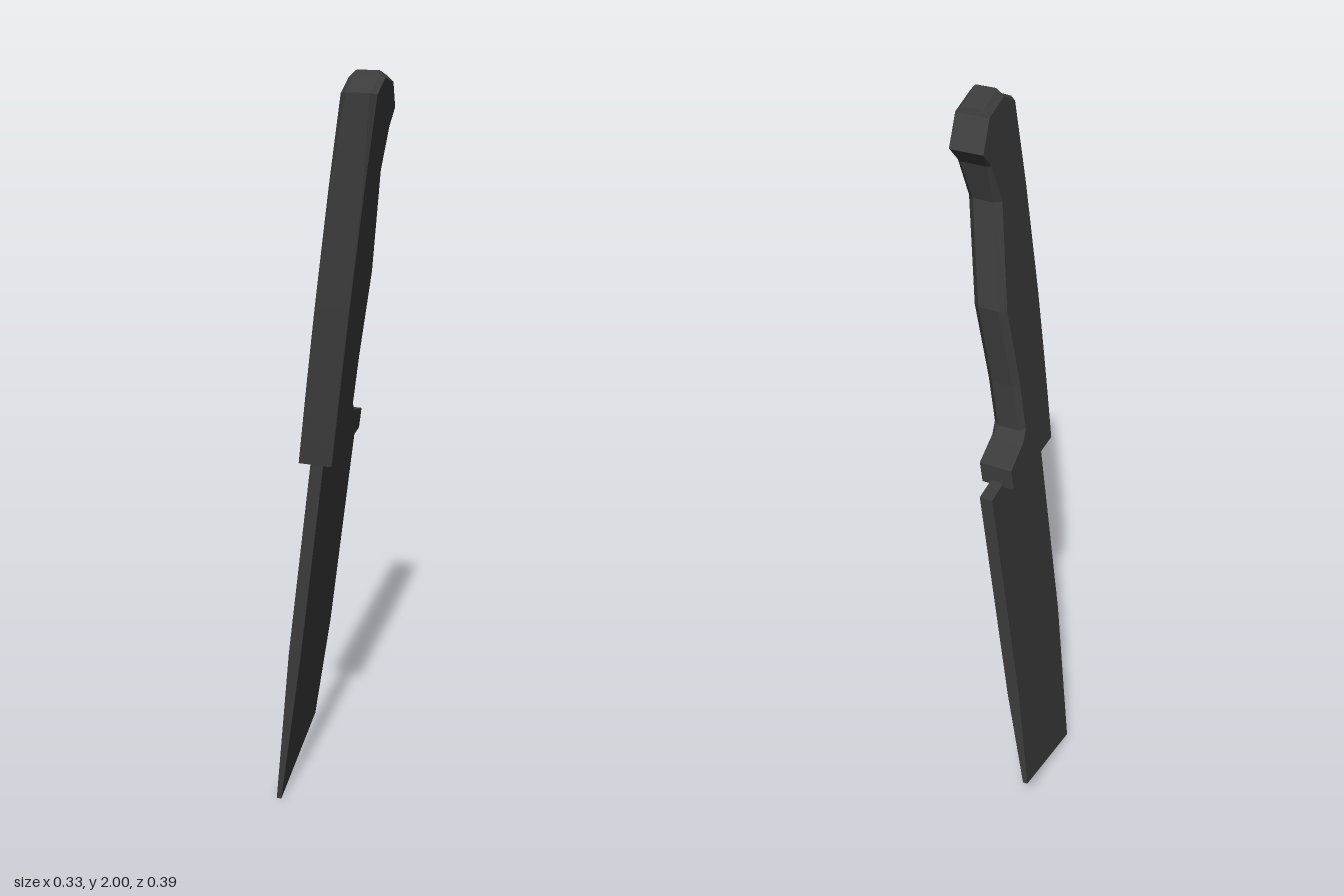
import * as THREE from 'three';

// Lean of the whole knife: x shifts with height and with depth
const lean = (x, y, z) => [x - 0.018 + 0.125 * (y - 1) + 0.11 * z, y, z];

// One ring: [spineZ, spineY, edgeZ, edgeY, halfWidth, spineBevel, edgeBevel]
function ring([zs, ys, ze, ye, w, bs, be]) {
  const half = [[w - be, ze], [w, ze + be], [w, zs - bs], [w - bs, zs]];
  const loop = [...half, ...half.slice().reverse().map(([x, z]) => [-x, z])];
  return loop.map(([x, z]) => lean(x, ye + (ys - ye) * (z - ze) / (zs - ze), z));
}

// Skin the rings from bottom to top and close both ends
function loft(sections) {
  const rings = sections.map(ring);
  const pos = [];
  const tri = (...pts) => pts.forEach((p) => pos.push(...p));
  for (let r = 0; r < rings.length - 1; r++) {
    const a = rings[r], b = rings[r + 1];
    for (let i = 0; i < a.length; i++) {
      const j = (i + 1) % a.length;
      tri(a[i], b[i], b[j]);
      tri(a[i], b[j], a[j]);
    }
  }
  const low = rings[0], top = rings[rings.length - 1];
  for (let k = 1; k < low.length - 1; k++) {
    tri(low[0], low[k], low[k + 1]);
    tri(top[0], top[k + 1], top[k]);
  }
  const g = new THREE.BufferGeometry();
  g.setAttribute('position', new THREE.Float32BufferAttribute(pos, 3));
  g.computeVertexNormals();
  return g;
}

export function createModel() {
  const group = new THREE.Group();
  group.name = 'knife';
  const darkGrey = new THREE.MeshStandardMaterial({ color: 0x3c3c3c });
  darkGrey.name = 'darkGrey';

  const add = (name, sections) => {
    const mesh = new THREE.Mesh(loft(sections), darkGrey);
    mesh.name = name;
    group.add(mesh);
  };

  // Blade: even thickness, thinning towards the slanted tip
  add('blade', [
    [0.13, 0, -0.195, 0.1, 0.007, 0.001, 0.001],
    [0.15, 0.47, -0.192, 0.42, 0.0175, 0.001, 0.001],
    [0.16, 1.06, -0.19, 1.055, 0.0175, 0.001, 0.001],
  ]);

  // Handle: finger guard, bevelled grip and hooked pommel
  const w = 0.045, s = 0.002;
  add('handle', [
    [0.18, 1.03, -0.11, 1.045, w, s, s],
    [0.184, 1.095, -0.11, 1.1, w, s, s],
    [0.186, 1.13, -0.02, 1.125, w, s, 0.008],
    [0.188, 1.16, 0, 1.15, w, s, 0.015],
    [0.194, 1.28, -0.003, 1.28, w, s, 0.016],
    [0.2, 1.45, -0.03, 1.5, w, s, 0.018],
    [0.2, 1.74, 0.02, 1.76, w, 0.004, 0.018],
    [0.2, 1.85, -0.008, 1.86, w, 0.01, 0.01],
    [0.2, 1.955, -0.04, 1.9, w, 0.016, s],
    [0.132, 1.985, 0.02, 1.966, w, 0.012, s],
    [0.12, 2, 0.025, 1.98, 0.029, s, s],
  ]);
  return group;
}
